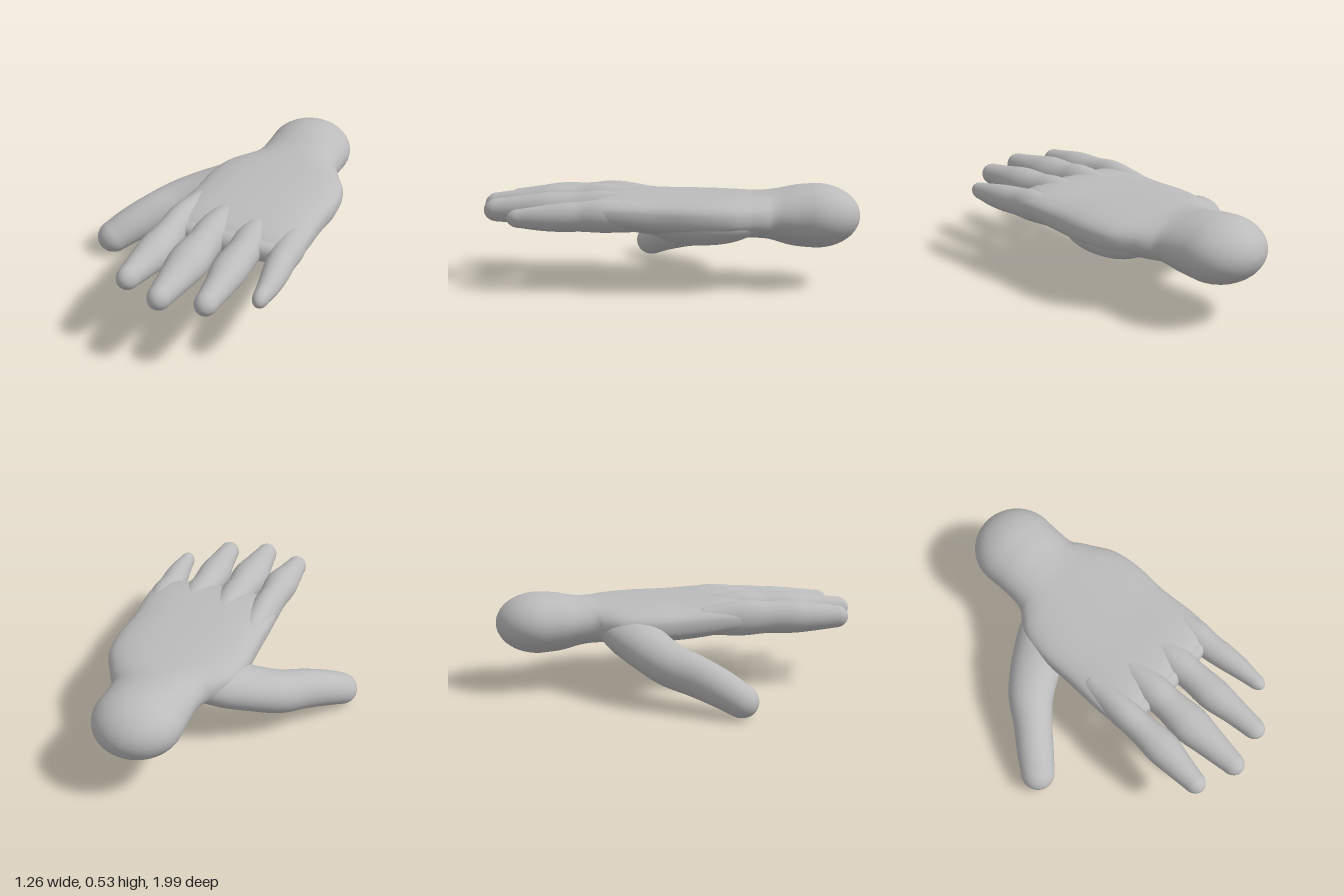
import * as THREE from 'three';

const SEGMENTS = 48;
const UP = new THREE.Vector3(0, 1, 0);

// Smooth rounded tube through stations [x, y, z, halfWidth, halfHeight, squareness],
// with domed ends of the given lengths.
function loft(stations, startCap, endCap) {
  const path = new THREE.CatmullRomCurve3(stations.map(s => new THREE.Vector3(s[0], s[1], s[2])), false, 'catmullrom');
  const size = new THREE.CatmullRomCurve3(stations.map(s => new THREE.Vector3(s[3], s[4], s[5] ?? 1)), false, 'catmullrom');
  const positions = [], index = [];
  let rings = 0;

  const addRing = (t, shift, scale) => {
    const tangent = path.getTangent(t);
    const centre = path.getPoint(t).addScaledVector(tangent, shift);
    const side = new THREE.Vector3().crossVectors(UP, tangent).normalize();
    const up = new THREE.Vector3().crossVectors(tangent, side);
    const r = size.getPoint(t);
    const bend = v => Math.sign(v) * Math.abs(v) ** r.z;
    for (let j = 0; j < SEGMENTS; j++) {
      const a = (j / SEGMENTS) * Math.PI * 2;
      const p = centre.clone()
        .addScaledVector(side, bend(Math.cos(a)) * r.x * scale)
        .addScaledVector(up, bend(Math.sin(a)) * r.y * scale);
      positions.push(p.x, p.y, p.z);
    }
    rings++;
  };

  const capSteps = 12, bodySteps = (stations.length - 1) * 7;
  const capAngle = i => (i / capSteps) * Math.PI * 0.4995;
  for (let i = capSteps; i > 0; i--) addRing(0, -startCap * Math.sin(capAngle(i)), Math.cos(capAngle(i)));
  for (let i = 0; i <= bodySteps; i++) addRing(i / bodySteps, 0, 1);
  for (let i = 1; i <= capSteps; i++) addRing(1, endCap * Math.sin(capAngle(i)), Math.cos(capAngle(i)));

  for (let i = 0; i < rings - 1; i++) {
    for (let j = 0; j < SEGMENTS; j++) {
      const k = (j + 1) % SEGMENTS;
      const a = i * SEGMENTS + j, b = i * SEGMENTS + k;
      index.push(a, b, b + SEGMENTS, a, b + SEGMENTS, a + SEGMENTS);
    }
  }
  const geometry = new THREE.BufferGeometry();
  geometry.setAttribute('position', new THREE.Float32BufferAttribute(positions, 3));
  geometry.setIndex(index);
  geometry.computeVertexNormals();
  return geometry;
}

export function createModel() {
  const hand = new THREE.Group();
  hand.name = 'hand';
  const skin = new THREE.MeshStandardMaterial({ color: 0xbbbbbb });
  skin.name = 'light grey skin';

  const add = (name, geometry) => {
    const mesh = new THREE.Mesh(geometry, skin);
    mesh.name = name;
    hand.add(mesh);
    return mesh;
  };

  // Bulbous wrist flowing into a broad, flat palm
  add('wristAndPalm', loft([
    [0.26, 0.38, -0.77, 0.233, 0.165, 1],
    [0.26, 0.38, -0.66, 0.23, 0.155, 1],
    [0.26, 0.384, -0.55, 0.236, 0.128, 0.95],
    [0.265, 0.386, -0.46, 0.285, 0.114, 0.85],
    [0.265, 0.389, -0.35, 0.35, 0.11, 0.78],
    [0.26, 0.391, -0.2, 0.375, 0.108, 0.72],
    [0.255, 0.394, 0, 0.37, 0.105, 0.7],
    [0.255, 0.408, 0.2, 0.377, 0.094, 0.7],
    [0.255, 0.411, 0.31, 0.372, 0.082, 0.72],
    [0.255, 0.411, 0.37, 0.355, 0.06, 0.75],
  ], 0.23, 0.06));

  // Fingers, widest at the middle joint and tapering to rounded tips
  const fingers = {
    indexFinger: [
      [-0.035, 0.408, 0.1, 0.068, 0.075], [-0.04, 0.415, 0.3, 0.08, 0.097],
      [-0.041, 0.412, 0.45, 0.079, 0.088], [-0.042, 0.408, 0.6, 0.092, 0.09],
      [-0.052, 0.403, 0.72, 0.076, 0.077], [-0.061, 0.4, 0.84, 0.058, 0.062],
    ],
    middleFinger: [
      [0.16, 0.412, 0.1, 0.08, 0.08], [0.157, 0.418, 0.34, 0.092, 0.1],
      [0.155, 0.415, 0.47, 0.089, 0.093], [0.153, 0.412, 0.62, 0.103, 0.095],
      [0.152, 0.406, 0.76, 0.084, 0.08], [0.15, 0.4, 0.92, 0.06, 0.063],
    ],
    ringFinger: [
      [0.35, 0.408, 0.1, 0.075, 0.08], [0.36, 0.412, 0.32, 0.09, 0.094],
      [0.363, 0.41, 0.45, 0.084, 0.086], [0.363, 0.408, 0.6, 0.09, 0.086],
      [0.369, 0.403, 0.74, 0.072, 0.073], [0.371, 0.4, 0.87, 0.058, 0.06],
    ],
    littleFinger: [
      [0.535, 0.398, 0.1, 0.07, 0.075], [0.553, 0.402, 0.28, 0.08, 0.083],
      [0.557, 0.398, 0.4, 0.073, 0.075], [0.568, 0.394, 0.5, 0.068, 0.072],
      [0.577, 0.39, 0.6, 0.057, 0.062], [0.58, 0.388, 0.7, 0.042, 0.048],
    ],
  };
  for (const [name, stations] of Object.entries(fingers)) add(name, loft(stations, 0.05, 0.07));

  // Thumb, reaching out and down from the base of the palm
  add('thumb', loft([
    [0.13, 0.365, -0.34, 0.15, 0.09],
    [0, 0.335, -0.28, 0.165, 0.115],
    [-0.14, 0.289, -0.225, 0.14, 0.112],
    [-0.27, 0.238, -0.14, 0.124, 0.113],
    [-0.37, 0.2, -0.03, 0.106, 0.108],
    [-0.465, 0.152, 0.08, 0.1, 0.098],
    [-0.535, 0.105, 0.165, 0.092, 0.087],
  ], 0.1, 0.095));

  // Soft heel pad under the outer edge of the palm
  const heel = add('heelPad', new THREE.SphereGeometry(1, 40, 24));
  heel.scale.set(0.145, 0.1, 0.28);
  heel.position.set(0.475, 0.352, -0.2);

  return hand;
}
